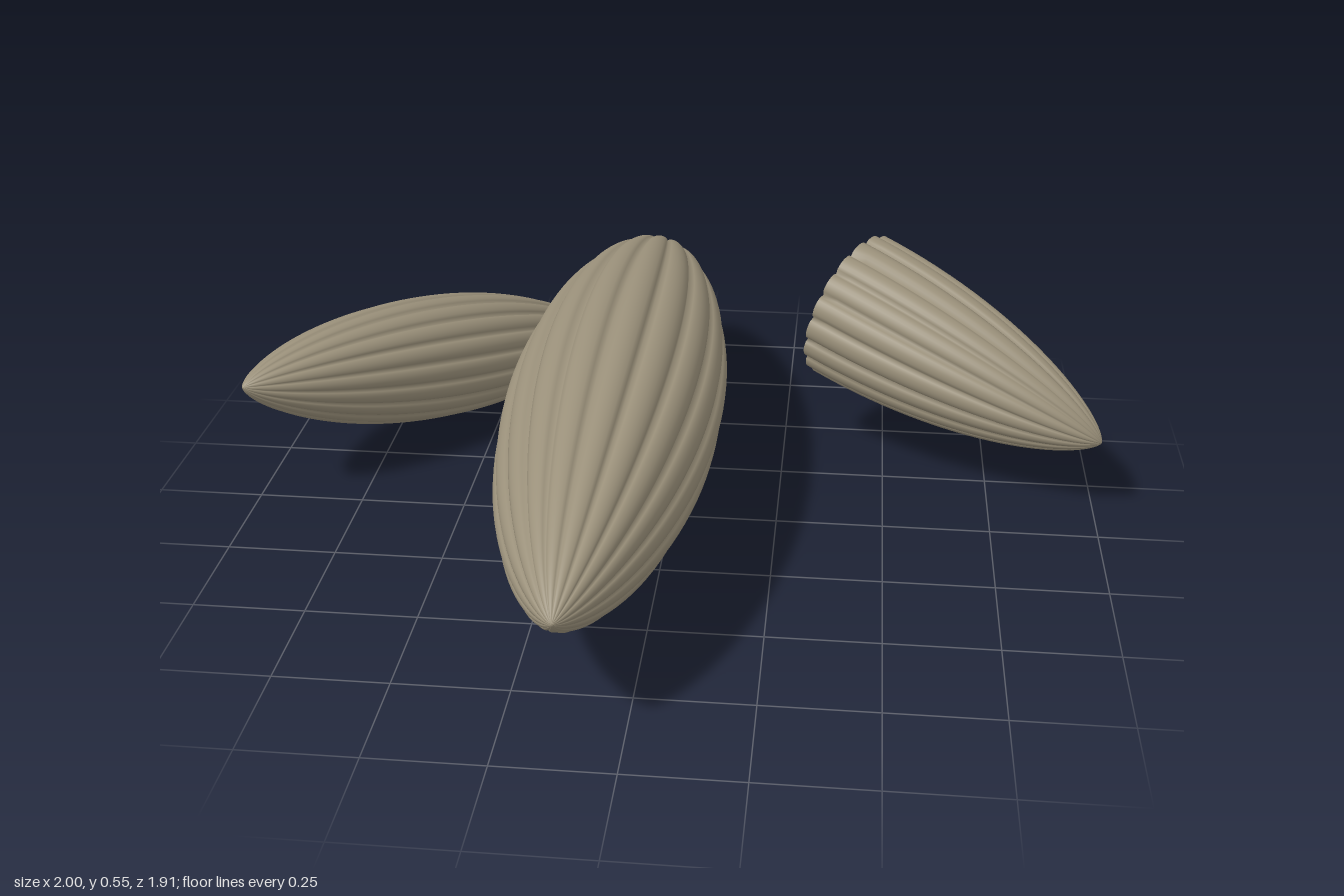
import * as THREE from 'three';
import { mergeVertices } from 'three/addons/utils/BufferGeometryUtils.js';

const RIBS = 18;
const SEGMENTS = RIBS * 8;

// scalloped cross-section: rounded ribs with narrow grooves between them
const ribFactor = (a) => 0.915 + 0.085 * Math.sqrt(Math.abs(Math.sin((a * RIBS) / 2)));

function applyRibs(geometry) {
  const p = geometry.attributes.position;
  for (let i = 0; i < p.count; i++) {
    const f = ribFactor(Math.atan2(p.getX(i), p.getZ(i)));
    p.setX(i, p.getX(i) * f);
    p.setZ(i, p.getZ(i) * f);
  }
  return geometry;
}

// pointed, ribbed grain along y; from = -1 for a whole grain, 0 for a cut half
function grainGeometry(halfLength, radius, from) {
  const points = [];
  const rows = from < 0 ? 56 : 28;
  for (let i = 0; i <= rows; i++) {
    const angle = Math.PI / 2 * (from + (1 - from) * i / rows);
    const t = Math.sin(angle);
    const r = radius * Math.pow(Math.max(0, 1 - t * t), 0.7);
    points.push(new THREE.Vector2(r, t * halfLength));
  }
  const geometry = applyRibs(new THREE.LatheGeometry(points, SEGMENTS));
  geometry.deleteAttribute('uv');
  geometry.deleteAttribute('normal');
  const merged = mergeVertices(geometry, 1e-5);
  merged.computeVertexNormals();
  return merged;
}

export function createModel() {
  const husk = new THREE.MeshStandardMaterial({ color: 0x9a907a });
  husk.name = 'husk';
  const model = new THREE.Group();
  model.name = 'grains';
  const up = new THREE.Vector3(0, 1, 0);

  // whole grain spanning two tips
  function wholeGrain(name, a, b, radius) {
    const start = new THREE.Vector3(...a);
    const end = new THREE.Vector3(...b);
    const mesh = new THREE.Mesh(grainGeometry(start.distanceTo(end) / 2, radius, -1), husk);
    mesh.name = name;
    mesh.position.copy(start).add(end).multiplyScalar(0.5);
    mesh.quaternion.setFromUnitVectors(up, end.sub(start).normalize());
    model.add(mesh);
  }
  wholeGrain('largeGrain', [-0.125, 0.305, -0.955], [-0.125, 0.305, 0.955], 0.247);
  wholeGrain('smallGrain', [-0.995, 0.325, 0.06], [-0.315, 0.07, -0.92], 0.158);

  // grain cut across the middle
  const base = new THREE.Vector3(0.4, 0.37, -0.477);
  const tip = new THREE.Vector3(1, 0.2, -0.105);
  const cutRadius = 0.19;
  const cutGrain = new THREE.Group();
  cutGrain.name = 'cutGrain';
  const shell = new THREE.Mesh(grainGeometry(base.distanceTo(tip), cutRadius, 0), husk);
  shell.name = 'cutGrainShell';

  // flat cut face with the same ribbed outline
  const disc = new THREE.CircleGeometry(cutRadius, SEGMENTS).rotateX(Math.PI / 2);
  const face = new THREE.Mesh(applyRibs(disc), husk);
  face.name = 'cutFace';
  cutGrain.add(shell, face);
  cutGrain.position.copy(base);
  cutGrain.quaternion.setFromUnitVectors(up, tip.clone().sub(base).normalize());
  model.add(cutGrain);

  return model;
}
